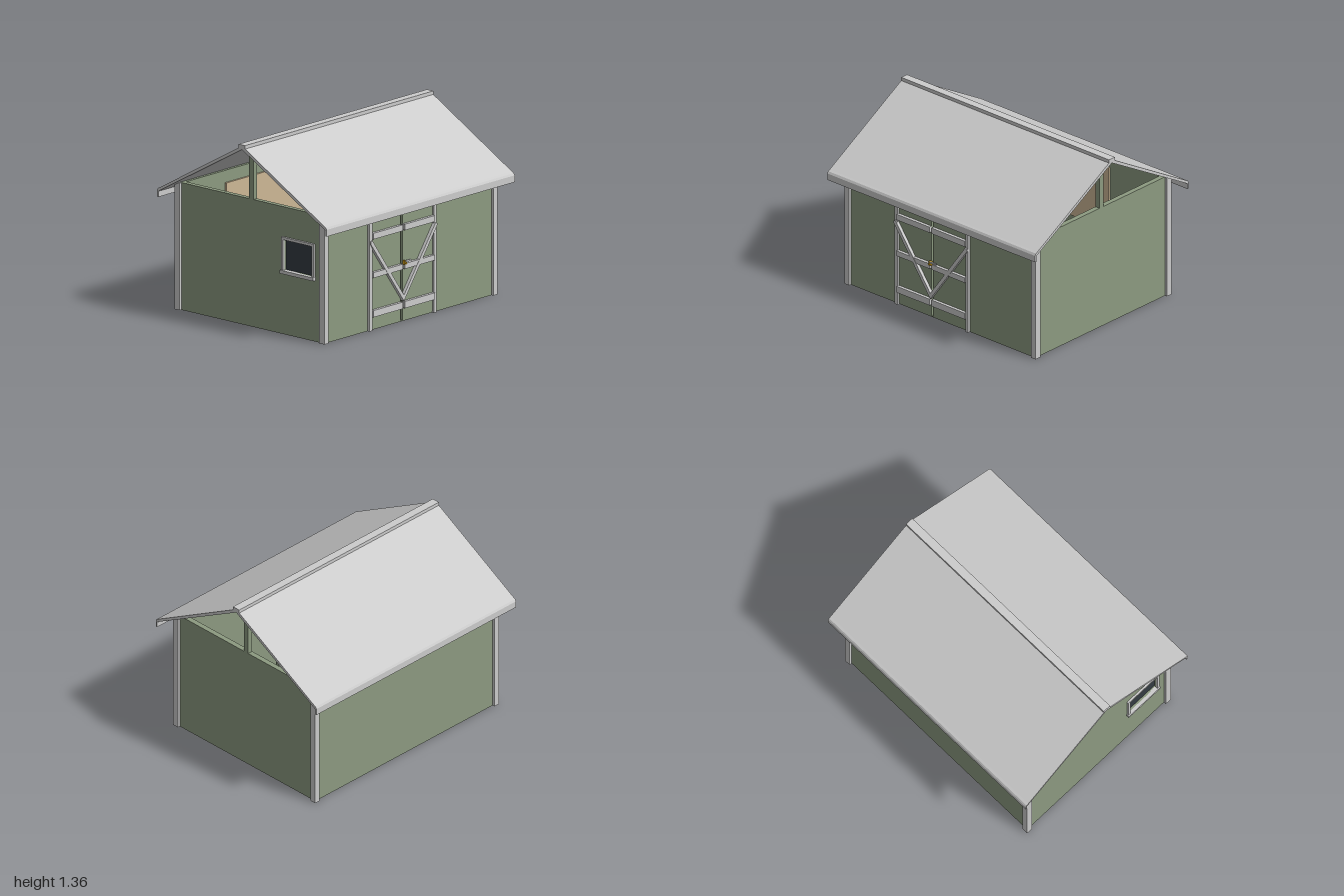
import * as THREE from 'three';

const mat = (color, extra = {}) => new THREE.MeshStandardMaterial({ color, ...extra });

export function createModel() {
  const group = new THREE.Group();
  group.name = 'gardenShed';
  const grey = mat(0xcccccc), green = mat(0x8c9a80), tan = mat(0xcdb896);
  const gold = mat(0xd4a017), glass = mat(0x333b42);

  const add = (name, geometry, material, parent = group) => {
    const mesh = new THREE.Mesh(geometry, material);
    mesh.name = name;
    parent.add(mesh);
    return mesh;
  };
  // Box given by its lower and upper limits on each axis
  const box = (name, x0, x1, y0, y1, z0, z1, material, parent) => {
    const mesh = add(name, new THREE.BoxGeometry(x1 - x0, y1 - y0, z1 - z0), material, parent);
    mesh.position.set((x0 + x1) / 2, (y0 + y1) / 2, (z0 + z1) / 2);
    return mesh;
  };
  const polygon = (points) => new THREE.Shape(points.map(([x, y]) => new THREE.Vector2(x, y)));
  const rectangle = (x0, x1, y0, y1) => polygon([[x0, y0], [x1, y0], [x1, y1], [x0, y1]]);
  const extrude = (shape, depth) => new THREE.ExtrudeGeometry(shape, { depth, bevelEnabled: false });

  const H = 0.94;

  // Floor and walls, open at the gables
  box('floor', -0.86, 0.86, 0.003, 0.025, -0.66, 0.66, grey);
  box('backWall', -0.9, 0.9, 0, H, -0.7, -0.66, green);
  box('rightHandWall', 0.86, 0.9, 0, H, -0.66, 0.66, green);

  const front = rectangle(-0.9, 0.9, 0, H);
  front.holes.push(rectangle(-0.41, 0.245, 0.008, 0.82));
  add('frontWall', extrude(front, 0.04), green).position.z = 0.66;

  // Side wall with a window opening; shape x runs along -z before turning
  const side = rectangle(-0.66, 0.66, 0, H);
  side.holes.push(rectangle(0.32, 0.59, 0.475, 0.7));
  const sideWall = add('windowWall', extrude(side, 0.04), green);
  sideWall.rotation.y = -Math.PI / 2;
  sideWall.position.x = -0.86;

  // Window frame, sill and pane
  const windowGroup = new THREE.Group();
  windowGroup.name = 'window';
  group.add(windowGroup);
  const frame = rectangle(0.3, 0.61, 0.455, 0.72);
  frame.holes.push(rectangle(0.32, 0.59, 0.475, 0.7));
  const frameMesh = add('windowFrame', extrude(frame, 0.025), grey, windowGroup);
  frameMesh.rotation.y = -Math.PI / 2;
  frameMesh.position.x = -0.89;
  box('windowSill', -0.925, -0.88, 0.45, 0.475, 0.295, 0.615, grey, windowGroup);
  box('windowPane', -0.885, -0.875, 0.475, 0.7, 0.32, 0.59, glass, windowGroup);

  // Corner boards and gable posts
  for (const sx of [-1, 1]) {
    for (const sz of [-1, 1]) {
      const post = add('cornerPost', new THREE.BoxGeometry(0.045, H - 0.002, 0.05), grey);
      post.position.set(sx * 0.8975, H / 2, sz * 0.695);
    }
    const gable = add('gablePost', new THREE.BoxGeometry(0.04, 0.39, 0.04), green);
    gable.position.set(sx * 0.88, H + 0.195, 0);
  }

  // Roof sheets with turned-down eaves, mirrored across the ridge
  const profile = [
    [0, 1.325], [0, 1.352], [0.788, 0.903], [0.804, 0.895], [0.813, 0.88],
    [0.813, 0.83], [0.8, 0.83], [0.8, 0.872], [0.785, 0.882],
  ];
  for (const s of [-1, 1]) {
    const sheet = add('roofSheet', extrude(polygon(profile.map(([z, y]) => [s * z, y])), 2), grey);
    sheet.rotation.y = -Math.PI / 2;
    sheet.position.x = 1;
  }
  box('ridgeCap', -1, 1, 1.33, 1.36, -0.031, 0.031, grey);

  // Double door: frame, leaves, battens and diagonal braces
  const door = new THREE.Group();
  door.name = 'doubleDoor';
  group.add(door);
  const mid = -0.085;
  box('doorFrame', -0.44, -0.41, 0, 0.92, 0.69, 0.72, grey, door);
  box('doorFrame', 0.245, 0.27, 0, 0.92, 0.69, 0.72, grey, door);
  for (const s of [-1, 1]) {
    const inner = mid + s * 0.01, outer = s < 0 ? -0.41 : 0.245;
    const x0 = Math.min(inner, outer), x1 = Math.max(inner, outer);
    box('doorLeaf', x0, x1, 0.01, 0.818, 0.68, 0.705, green, door);
    for (const [y0, y1] of [[0.1, 0.15], [0.39, 0.43], [0.675, 0.72]])
      box('doorBatten', x0, x1, y0, y1, 0.7, 0.728, grey, door);
    const brace = polygon([[0, 0.155], [s * 0.353, 0.645], [s * 0.353, 0.66], [s * 0.335, 0.668], [0, 0.2]]);
    const braceMesh = add('doorBrace', extrude(brace, 0.03), grey, door);
    braceMesh.position.set(mid, 0, 0.7);
  }

  // Lock plate and lever handle
  box('lockPlate', -0.092, -0.068, 0.425, 0.455, 0.72, 0.738, gold, door);
  const knob = add('handleSpindle', new THREE.CylinderGeometry(0.008, 0.008, 0.022, 16), gold, door);
  knob.rotation.x = Math.PI / 2;
  knob.position.set(-0.08, 0.437, 0.738);
  box('handleLever', -0.08, -0.022, 0.444, 0.456, 0.732, 0.742, grey, door);

  // Board on the inside of the back wall
  box('innerBoard', -0.45, 0.38, 0.36, 0.85, -0.66, -0.645, tan);

  return group;
}
